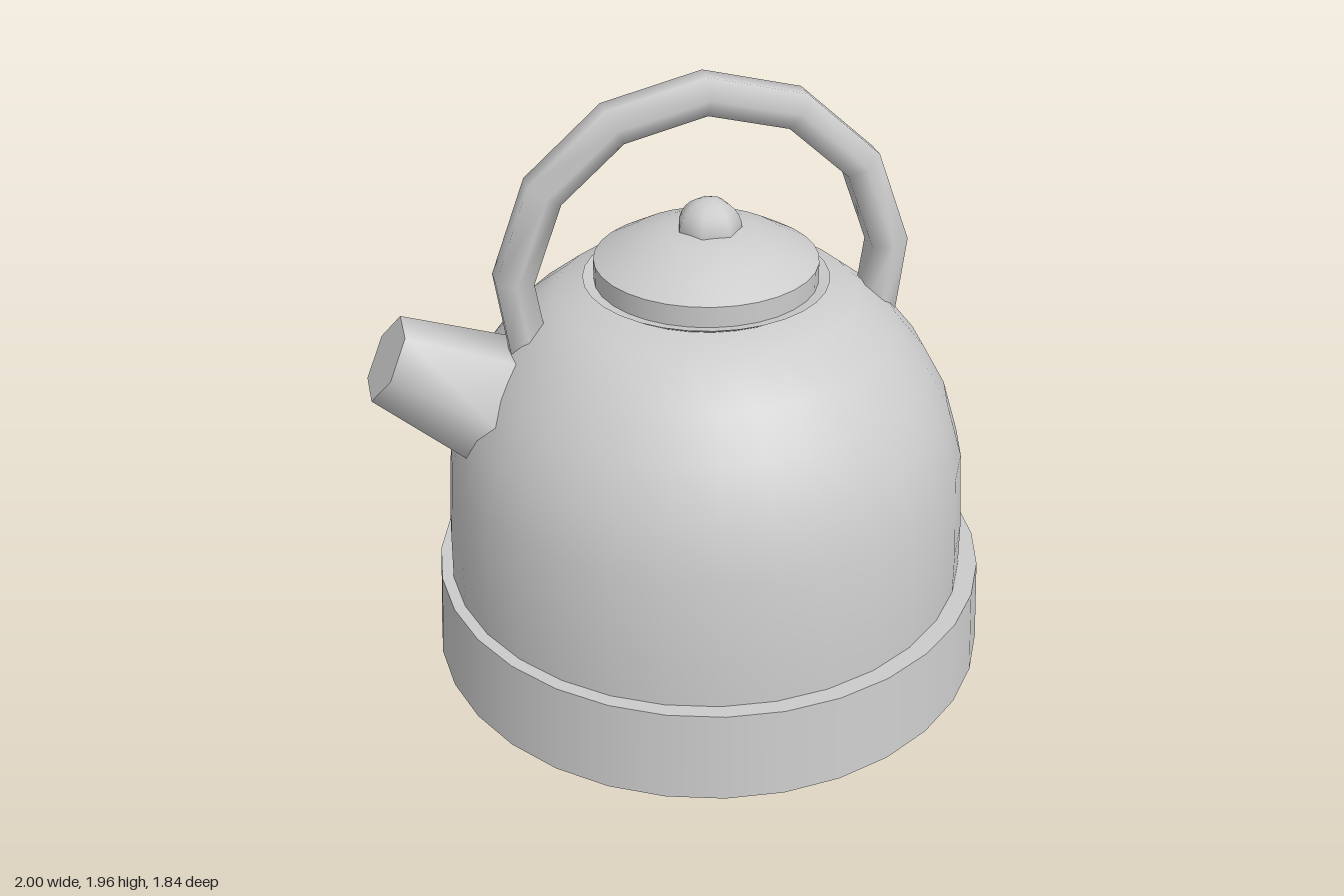
import * as THREE from 'three';

const material = new THREE.MeshStandardMaterial({ color: 0xcccccc, side: THREE.DoubleSide });
const SEGMENTS = 32;

// Turned part; each profile is smooth, and separate profiles meet in a sharp edge
function turned(name, x, profiles) {
  const group = new THREE.Group();
  group.name = name;
  group.position.x = x;
  for (const profile of profiles) {
    const points = profile.map(([r, y]) => new THREE.Vector2(r, y));
    const mesh = new THREE.Mesh(new THREE.LatheGeometry(points, SEGMENTS), material);
    mesh.name = name + 'Surface';
    group.add(mesh);
  }
  return group;
}

// Six-sided capped bar along a path in the xy plane; rings are [x, y, inPlaneRadius, zRadius]
function hexBar(name, rings) {
  const SIDES = 6;
  const positions = [];
  const index = [];
  const corners = rings.map(([x, y, rn, rz], i) => {
    const a = rings[Math.max(i - 1, 0)];
    const b = rings[Math.min(i + 1, rings.length - 1)];
    const t = new THREE.Vector2(b[0] - a[0], b[1] - a[1]).normalize();
    return Array.from({ length: SIDES }, (_, j) => {
      const angle = Math.PI / 6 + (j * 2 * Math.PI) / SIDES;
      const n = rn * Math.cos(angle);
      return [x - t.y * n, y + t.x * n, rz * Math.sin(angle)];
    });
  });
  corners.forEach((ring) => ring.forEach((p) => positions.push(...p)));
  for (let i = 0; i < rings.length - 1; i++) {
    for (let j = 0; j < SIDES; j++) {
      const a = i * SIDES + j;
      const b = i * SIDES + ((j + 1) % SIDES);
      index.push(a, b, b + SIDES, a, b + SIDES, a + SIDES);
    }
  }
  // End caps with their own vertices
  [[corners[0], true], [corners[corners.length - 1], false]].forEach(([ring, flip]) => {
    const start = positions.length / 3;
    ring.forEach((p) => positions.push(...p));
    for (let j = 1; j < SIDES - 1; j++) {
      if (flip) index.push(start, start + j + 1, start + j);
      else index.push(start, start + j, start + j + 1);
    }
  });
  const geometry = new THREE.BufferGeometry();
  geometry.setAttribute('position', new THREE.Float32BufferAttribute(positions, 3));
  geometry.setIndex(index);
  geometry.computeVertexNormals();
  const mesh = new THREE.Mesh(geometry, material);
  mesh.name = name;
  return mesh;
}

export function createModel() {
  const model = new THREE.Group();
  model.name = 'kettle';

  // Wide base band with a flat underside and a ledge
  model.add(turned('base', 0.075, [
    [[0, 0], [0.922, 0]],
    [[0.922, 0], [0.903, 0.3]],
    [[0.903, 0.3], [0.8, 0.3]],
  ]));

  // Domed body
  model.add(turned('body', 0.062, [
    [[0.853, 0.3], [0.85, 0.45], [0.83, 0.72], [0.775, 0.9], [0.7, 1.035],
      [0.6, 1.16], [0.473, 1.26], [0.34, 1.285]],
  ]));

  // Flared rim under the lid
  model.add(turned('rim', 0.062, [
    [[0.34, 1.28], [0.385, 1.308]],
    [[0.385, 1.308], [0.34, 1.3]],
  ]));

  // Lid with a short wall and a shallow dome
  model.add(turned('lid', 0.062, [
    [[0.35, 1.3], [0.35, 1.368]],
    [[0.35, 1.368], [0.25, 1.425], [0.16, 1.458], [0.08, 1.47], [0, 1.472]],
  ]));

  // Knob
  const knob = new THREE.Mesh(new THREE.SphereGeometry(0.103, 7, 14, -Math.PI / 2), material);
  knob.name = 'knob';
  knob.position.set(0.07, 1.458, 0);
  model.add(knob);

  // Arched handle
  const arch = [[-0.505, 1.13], [-0.54, 1.36], [-0.44, 1.635], [-0.225, 1.828], [0.055, 1.898],
    [0.335, 1.828], [0.55, 1.635], [0.65, 1.365], [0.622, 1.125]];
  model.add(hexBar('handle', arch.map(([x, y]) => [x, y, 0.068, 0.075])));

  // Tapered spout
  model.add(hexBar('spout', [[-0.64, 0.965, 0.205, 0.2], [-0.94, 1.14, 0.134, 0.15]]));

  return model;
}
